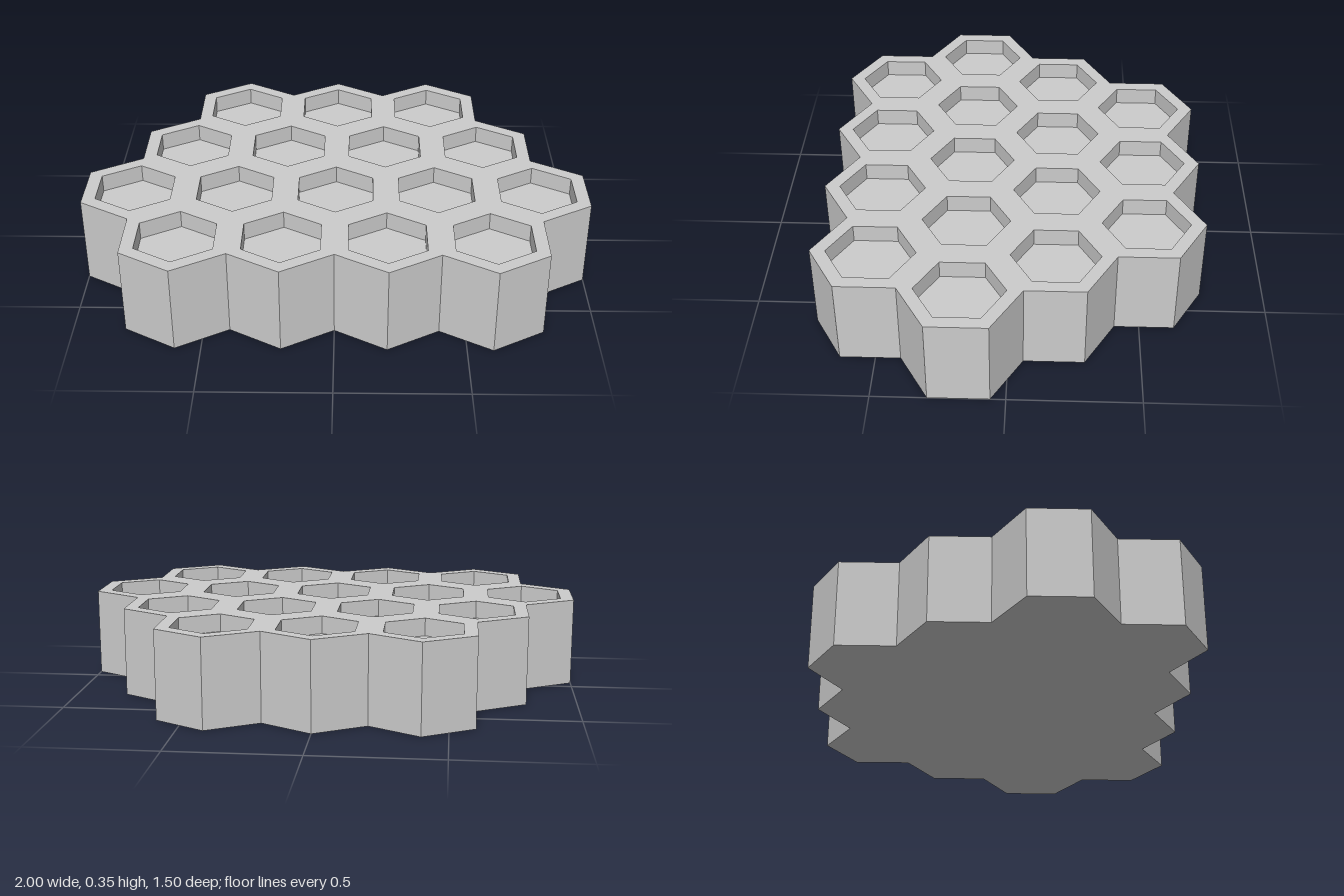
import * as THREE from 'three';

const WIDTH = 0.4, R = WIDTH / Math.sqrt(3), POCKET_R = 0.171;
const HEIGHT = 0.353, FLOOR = 0.283;
// Rows from back to front, with the number of cells in each
const ROWS = [3, 4, 5, 4];

// Counter-clockwise hexagon with a corner pointing forward and back
const hexagon = (c, r) => Array.from({ length: 6 }, (_, i) => {
  const a = Math.PI / 6 + i * Math.PI / 3;
  return new THREE.Vector2(c.x + r * Math.cos(a), c.y + r * Math.sin(a));
});

// Outer contour: keep the cell edges that no neighbour shares, then chain them
function contour(cells) {
  const key = p => `${Math.round(p.x * 1000)},${Math.round(p.y * 1000)}`;
  const edges = new Map();
  for (const c of cells) {
    const h = hexagon(c, R);
    h.forEach((p, i) => edges.set(key(p) + '>' + key(h[(i + 1) % 6]), [p, h[(i + 1) % 6]]));
  }
  const next = new Map();
  for (const [a, b] of edges.values()) {
    if (!edges.has(key(b) + '>' + key(a))) next.set(key(a), b);
  }
  const start = next.values().next().value;
  const points = [start];
  for (let p = next.get(key(start)); key(p) !== key(start); p = next.get(key(p))) points.push(p);
  return points;
}

// Upright walls along a closed loop, facing to the right of its direction
function walls(points, y0, y1) {
  const v = [];
  points.forEach((a, i) => {
    const b = points[(i + 1) % points.length];
    v.push(a.x, y0, -a.y, b.x, y0, -b.y, b.x, y1, -b.y);
    v.push(a.x, y0, -a.y, b.x, y1, -b.y, a.x, y1, -a.y);
  });
  const g = new THREE.BufferGeometry();
  g.setAttribute('position', new THREE.Float32BufferAttribute(v, 3));
  g.computeVertexNormals();
  return g;
}

// Horizontal face looking up
const face = (shape, y) => new THREE.ShapeGeometry(shape).rotateX(-Math.PI / 2).translate(0, y, 0);

export function createModel() {
  const model = new THREE.Group();
  model.name = 'honeycombTray';
  const material = new THREE.MeshStandardMaterial({ color: 0xcccccc, flatShading: true });
  const add = (name, geometry) => {
    const mesh = new THREE.Mesh(geometry, material);
    mesh.name = name;
    model.add(mesh);
  };

  const cells = [];
  ROWS.forEach((count, row) => {
    for (let i = 0; i < count; i++) {
      cells.push(new THREE.Vector2((i - (count - 1) / 2) * WIDTH, (1.5 - row) * R * 1.5));
    }
  });
  const outline = contour(cells);

  // Outer shell
  add('outerWalls', walls(outline, 0, HEIGHT));
  const mirrored = outline.map(p => new THREE.Vector2(p.x, -p.y));
  add('underside', new THREE.ShapeGeometry(new THREE.Shape(mirrored)).rotateX(Math.PI / 2));

  // Top face, pierced by the pockets
  const top = new THREE.Shape(outline);
  cells.forEach(c => top.holes.push(new THREE.Path(hexagon(c, POCKET_R).reverse())));
  add('topRim', face(top, HEIGHT));

  // Shallow hexagonal pockets
  cells.forEach((c, i) => {
    const hex = hexagon(c, POCKET_R);
    add(`pocketFloor${i + 1}`, face(new THREE.Shape(hex), FLOOR));
    add(`pocketWalls${i + 1}`, walls([...hex].reverse(), FLOOR, HEIGHT));
  });
  return model;
}
